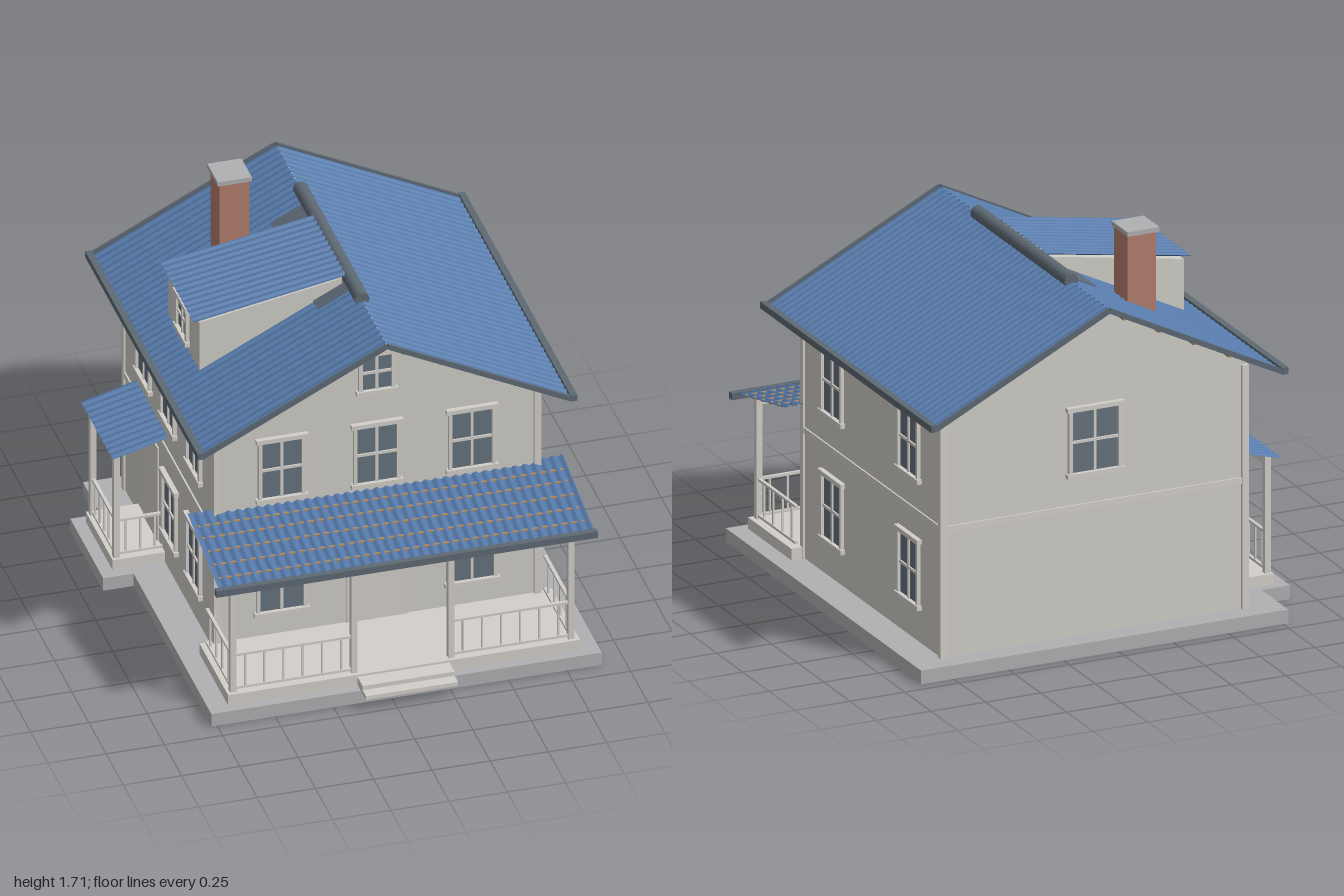
import * as THREE from 'three';

const mat = (name, color, side = THREE.FrontSide) => {
  const m = new THREE.MeshStandardMaterial({ color, side });
  m.name = name;
  return m;
};

export function createModel() {
  const house = new THREE.Group();
  house.name = 'house';
  const wall = mat('wall', 0xd0cdc7);
  const trim = mat('trim', 0xd3d0cb);
  const stone = mat('stone', 0xb0b0b3);
  const glass = mat('glass', 0x66727d);
  const slate = mat('slate', 0x5e6973);
  const roofing = mat('roofing', 0x5478a8, THREE.DoubleSide);
  const brick = mat('brick', 0xb27d6c);
  const wood = mat('wood', 0xaa8a66);

  const add = (name, geometry, material, parent = house) => {
    const mesh = new THREE.Mesh(geometry, material);
    mesh.name = name;
    parent.add(mesh);
    return mesh;
  };
  // Box given by its minimum and maximum on each axis
  const box = (name, material, x0, x1, y0, y1, z0, z1, parent = house) => {
    const mesh = add(name, new THREE.BoxGeometry(x1 - x0, y1 - y0, z1 - z0), material, parent);
    mesh.position.set((x0 + x1) / 2, (y0 + y1) / 2, (z0 + z1) / 2);
    return mesh;
  };
  // Bar of section w by h running between two points
  const bar = (name, material, a, b, w, h) => {
    const p = new THREE.Vector3(...a), q = new THREE.Vector3(...b);
    const mesh = add(name, new THREE.BoxGeometry(w, h, p.distanceTo(q)), material);
    mesh.position.copy(p).lerp(q, 0.5);
    mesh.lookAt(q);
    return mesh;
  };
  // Corrugated sheet rising from the middle of its low edge to the middle of its high edge
  const sheet = (name, low, high, width) => {
    const a = new THREE.Vector3(...low), b = new THREE.Vector3(...high);
    const slope = b.clone().sub(a).normalize();
    const across = slope.clone().cross(new THREE.Vector3(0, 1, 0)).normalize();
    const normal = across.clone().cross(slope);
    const waves = Math.round(width / 0.042);
    const g = new THREE.PlaneGeometry(width, 1, waves * 8, 1);
    const pos = g.attributes.position, v = new THREE.Vector3();
    for (let i = 0; i < pos.count; i++) {
      const u = pos.getX(i);
      v.copy(a).lerp(b, pos.getY(i) + 0.5).addScaledVector(across, u);
      v.addScaledVector(normal, 0.005 * Math.cos((u / width) * waves * Math.PI * 2));
      pos.setXYZ(i, v.x, v.y, v.z);
    }
    g.computeVertexNormals();
    return add(name, g, roofing);
  };
  // Profile in x and y, extruded between two depths
  const prism = (name, points, z0, z1) => {
    const shape = new THREE.Shape(points.map(p => new THREE.Vector2(...p)));
    const g = new THREE.ExtrudeGeometry(shape, { depth: z1 - z0, bevelEnabled: false });
    return add(name, g.translate(0, 0, z0), wall);
  };

  // Foundation, porch floors and steps
  box('foundation', stone, -0.775, 0.9, 0, 0.06, -0.945, 0.92);
  box('sideFoundation', stone, -0.905, -0.775, 0, 0.06, -0.69, -0.21);
  box('porchFloor', trim, -0.69, 0.82, 0.06, 0.11, 0.46, 0.876);
  box('sidePorchFloor', trim, -0.85, -0.62, 0.06, 0.108, -0.65, -0.26);
  box('lowerStep', trim, -0.135, 0.26, 0.062, 0.08, 0.87, 1.0);
  box('upperStep', trim, -0.135, 0.26, 0.08, 0.1, 0.87, 0.95);

  // Walls with gables, corner boards and belt course
  const X0 = -0.625, X1 = 0.76, Z0 = -0.85, Z1 = 0.472, CX = 0.065;
  prism('walls', [[X0, 0.06], [X1, 0.06], [X1, 1.16], [CX, 1.505], [X0, 1.16]], Z0, Z1);
  for (const x of [X0 + 0.005, X1 - 0.005])
    for (const z of [Z0 + 0.003, Z1 - 0.003])
      box('cornerBoard', trim, x - 0.015, x + 0.015, 0.06, 1.13, z - 0.014, z + 0.014);
  box('beltCourse', trim, X0 - 0.007, X1 + 0.007, 0.61, 0.637, Z0 - 0.007, Z1 + 0.007);

  // Windows: glass plate, frame, head, sill and crossed glazing bars
  const addWindow = (x, y, z, turn, w = 0.2, h = 0.29) => {
    const g = new THREE.Group();
    g.name = 'window';
    g.position.set(x, y, z);
    g.rotation.y = turn;
    const W = w / 2, H = h / 2;
    box('glass', glass, -W, W, -H, H, -0.002, 0.004, g);
    for (const s of [-1, 1]) {
      box('jamb', trim, s * (W - 0.007) - 0.008, s * (W - 0.007) + 0.008, -H, H, 0, 0.016, g);
      const e = W + 0.011;
      box(s < 0 ? 'sill' : 'head', trim, -e, e, s * H - 0.01, s * H + 0.01, 0, 0.022, g);
    }
    box('mullion', trim, -0.006, 0.006, -H, H, 0, 0.011, g);
    box('glazingBar', trim, -W, W, -0.006, 0.006, 0, 0.011, g);
    house.add(g);
  };
  const Q = Math.PI / 2;
  for (const x of [-0.343, 0.065, 0.473]) addWindow(x, 0.914, Z1, 0);
  for (const x of [-0.343, 0.473]) addWindow(x, 0.363, Z1, 0, 0.215);
  addWindow(CX, 1.31, Z1, 0, 0.155, 0.185);
  addWindow(CX, 0.914, Z0, 2 * Q, 0.24);
  for (const z of [0.183, -0.548]) {
    addWindow(X1, 0.914, z, Q);
    addWindow(X1, 0.36, z, Q);
  }
  for (const z of [0.183, -0.19, -0.548]) addWindow(X0, 0.914, z, -Q);
  for (const z of [0.183, -0.17]) addWindow(X0, 0.36, z, -Q);

  // Doors
  box('frontDoor', trim, -0.065, 0.197, 0.11, 0.58, Z1 - 0.002, Z1 + 0.007);
  box('sideDoor', trim, X0 - 0.007, X0 + 0.002, 0.108, 0.56, -0.56, -0.35);

  // Main roof: corrugated slopes, rakes, gutters, rafter tails and purlins
  for (const s of [-1, 1]) {
    const at = (d, top, z) => [CX + s * d, top - 0.5 * d, z];
    sheet('roofSlope', at(0.787, 1.525, -0.182), at(0, 1.525, -0.182), 1.62);
    for (const z of [-0.994, 0.629])
      bar('rakeBoard', slate, at(0.79, 1.523, z), at(0, 1.523, z), 0.012, 0.022);
    const gx = CX + s * 0.8;
    box('gutter', slate, gx - 0.014, gx + 0.014, 1.117, 1.146, -1, 0.635);
    for (let i = 0; i < 6; i++) {
      const z = 0.445 - 0.25 * i;
      bar('rafterTail', wood, at(0.6, 1.5, z), at(0.775, 1.5, z), 0.02, 0.032);
    }
    for (let i = 0; i < 4; i++) {
      const d = 0.075 + 0.16 * i;
      bar('purlin', wood, at(d, 1.51, -0.985), at(d, 1.51, 0.62), 0.014, 0.014);
    }
  }
  const ridge = add('ridgeCap', new THREE.CylinderGeometry(0.031, 0.031, 0.9, 20), slate);
  ridge.rotation.x = Q;
  ridge.position.set(CX, 1.532, -0.182);
  bar('ridgeFlashing', slate, [-0.095, 1.447, -0.185], [0.05, 1.5195, -0.185], 0.69, 0.006);

  // Shed dormer
  prism('dormerWalls',
    [[-0.583, 1.17], [0.03, 1.45], [0.03, 1.538], [-0.583, 1.43]], -0.35, 0.095);
  sheet('dormerRoof', [-0.61, 1.443, -0.128], [0.045, 1.556, -0.128], 0.485);
  addWindow(-0.583, 1.325, -0.128, -Q, 0.16, 0.165);

  // Chimney
  box('chimney', brick, -0.32, -0.19, 1.25, 1.69, -0.635, -0.505);
  box('chimneyCap', stone, -0.33, -0.183, 1.69, 1.71, -0.647, -0.495);

  // Front porch roof
  sheet('porchRoof', [CX, 0.65, 0.905], [CX, 0.743, 0.45], 1.61);
  box('porchGutter', slate, -0.755, 0.882, 0.625, 0.655, 0.898, 0.926);
  for (const z of [0.84, 0.76, 0.68, 0.6, 0.53])
    box('porchPurlin', wood, -0.72, 0.85, 0.826 - 0.204 * z, 0.838 - 0.204 * z - 0.002, z - 0.006, z + 0.006);
  box('porchBeam', trim, -0.675, 0.8, 0.612, 0.642, 0.835, 0.859);

  // Posts
  const post = (x, z, y1) => box('post', trim, x - 0.013, x + 0.013, 0.105, y1, z - 0.013, z + 0.013);
  for (const x of [-0.663, -0.143, 0.273, 0.787]) post(x, 0.847, 0.64);
  for (const z of [-0.625, -0.285]) post(-0.828, z, 0.625);

  // Railings: two rails with evenly spaced balusters
  const railing = (x0, z0, x1, z1, count) => {
    for (const y of [0.125, 0.284]) bar('rail', trim, [x0, y, z0], [x1, y, z1], 0.014, 0.011);
    for (let i = 1; i <= count; i++) {
      const t = (i - 0.5) / count, x = x0 + (x1 - x0) * t, z = z0 + (z1 - z0) * t;
      box('baluster', trim, x - 0.004, x + 0.004, 0.12, 0.285, z - 0.004, z + 0.004);
    }
  };
  railing(-0.65, 0.847, -0.155, 0.847, 6);
  railing(0.285, 0.847, 0.775, 0.847, 6);
  for (const x of [-0.663, 0.787]) railing(x, 0.835, x, 0.48, 4);
  railing(-0.828, -0.615, -0.828, -0.295, 5);
  railing(-0.818, -0.285, -0.63, -0.285, 3);

  // Side porch roof
  sheet('sidePorchRoof', [-0.863, 0.628, -0.452], [-0.62, 0.692, -0.452], 0.465);
  box('sidePorchBeam', trim, -0.84, -0.816, 0.597, 0.62, -0.64, -0.27);

  return house;
}
